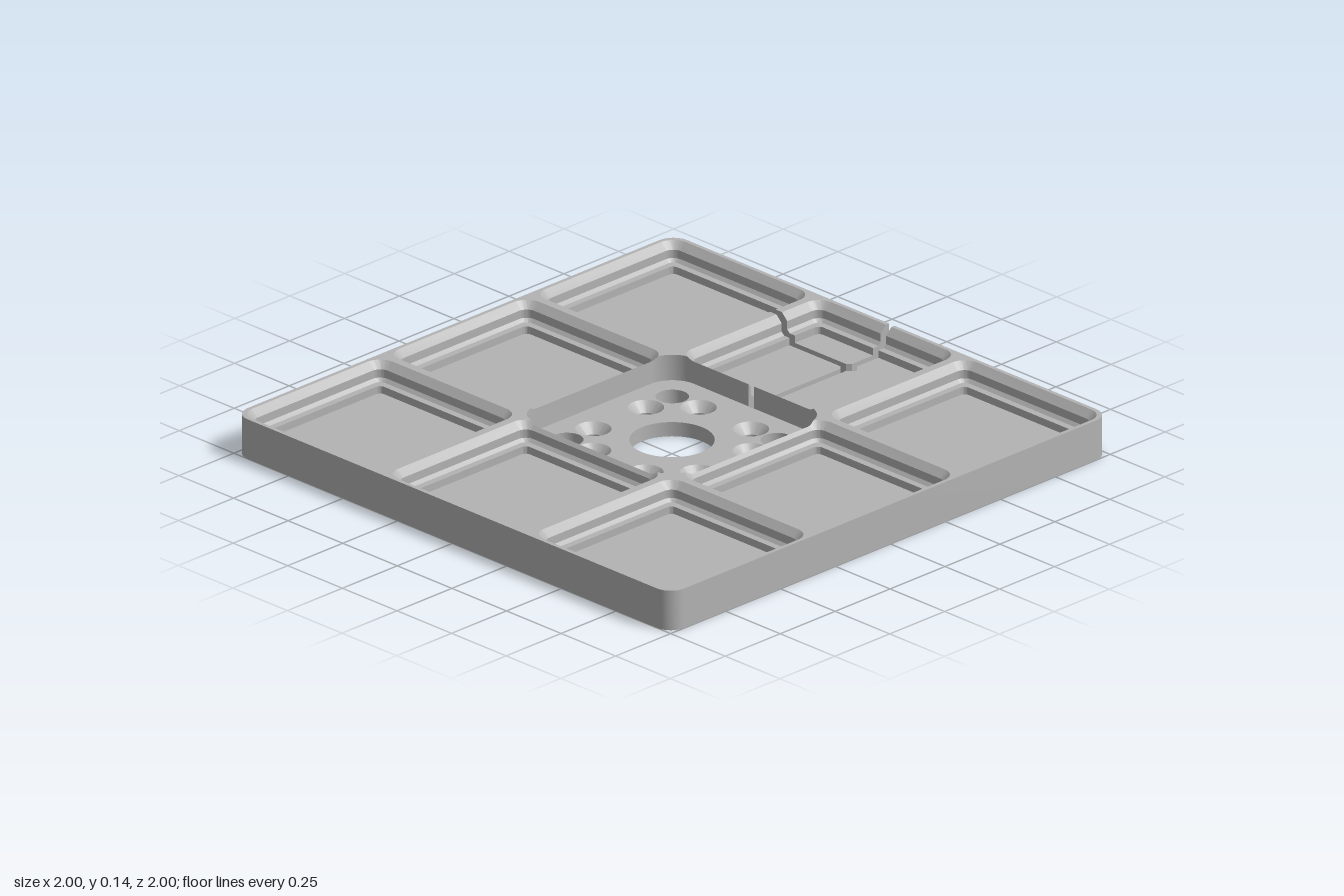
import * as THREE from 'three';
import { toCreasedNormals } from 'three/addons/utils/BufferGeometryUtils.js';

const V = (x, y, z) => new THREE.Vector3(x, y, z);
const TOP = 0.14, FLOOR = 0.05, PITCH = 0.667;
// Pocket profile, rim to floor: [half width, corner radius, height]
const PROFILE = [
  [0.319, 0.058, TOP], [0.295, 0.034, 0.116], [0.295, 0.034, 0.087],
  [0.284, 0.023, 0.076], [0.26, 0.02, 0.076], [0.26, 0.02, FLOOR],
];
const RECESS = 0.36, RECESS_R = 0.1;
const SLOT = 0.0125, SLOT_X = 0.805, SLOT_START = 0.358, SLOT_END = -0.48;

// Loops are lists of [x, z]
function roundedSquare(half, r, cx = 0, cz = 0, n = 10) {
  const pts = [];
  for (let q = 0; q < 4; q++) {
    const sx = q === 0 || q === 3 ? 1 : -1, sz = q < 2 ? 1 : -1;
    for (let i = 0; i <= n; i++) {
      const a = (q + i / n) * Math.PI / 2;
      pts.push([cx + sx * (half - r) + r * Math.cos(a), cz + sz * (half - r) + r * Math.sin(a)]);
    }
  }
  return pts;
}

function circle(r, cx = 0, cz = 0, n = 40) {
  return Array.from({ length: n }, (_, i) => {
    const a = i / n * Math.PI * 2;
    return [cx + r * Math.cos(a), cz + r * Math.sin(a)];
  });
}

const ring = (loop, y) => loop.map(([x, z]) => V(x, y, z));

// Wall through rings: bottom to top faces outward, top to bottom faces inward
function loft(rings) {
  const out = [];
  for (let k = 0; k < rings.length - 1; k++) {
    const a = rings[k], b = rings[k + 1];
    a.forEach((p, i) => {
      const j = (i + 1) % a.length;
      out.push([p, b[i], b[j]], [p, b[j], a[j]]);
    });
  }
  return out;
}

// Flat triangulated outline, placed by a mapping from 2D to 3D
function sheet(outline, holes, place, flip) {
  const toPath = (l) => l.map(([x, y]) => new THREE.Vector2(x, y));
  const shape = new THREE.Shape(toPath(outline));
  shape.holes = holes.map((h) => new THREE.Path(toPath(h)));
  const p = new THREE.ShapeGeometry(shape).toNonIndexed().attributes.position;
  const out = [];
  for (let i = 0; i < p.count; i += 3) {
    const t = [0, 1, 2].map((k) => place(p.getX(i + k), p.getY(i + k)));
    out.push(flip ? t.reverse() : t);
  }
  return out;
}
const level = (outline, holes, y, up = true) => sheet(outline, holes, (x, z) => V(x, y, z), up);

// Cuts a convex vertical prism out of a list of triangles
function cut(tris, loop) {
  const sides = loop.map((a, i) => {
    const b = loop[(i + 1) % loop.length];
    return (p) => (p.x - a[0]) * (b[1] - a[1]) - (p.z - a[1]) * (b[0] - a[0]);
  });
  const out = [];
  for (const tri of tris) {
    if (sides.some((f) => tri.every((p) => f(p) >= -1e-9))) { out.push(tri); continue; }
    let poly = tri;
    for (const f of sides) {
      const outer = [], inner = [];
      poly.forEach((p, i) => {
        const q = poly[(i + 1) % poly.length], fp = f(p), fq = f(q);
        (fp > 0 ? outer : inner).push(p);
        if ((fp > 0) !== (fq > 0)) {
          const m = p.clone().lerp(q, fp / (fp - fq));
          outer.push(m);
          inner.push(m);
        }
      });
      for (let i = 1; i < outer.length - 1; i++) out.push([outer[0], outer[i], outer[i + 1]]);
      poly = inner;
      if (poly.length < 3) break;
    }
  }
  return out;
}

// Depth of a point inside the rim of a pocket next to the centre
function rimDepth(x, z) {
  const [half, r] = PROFILE[0];
  const qx = Math.abs(Math.max(Math.abs(x), Math.abs(z)) - PITCH) - half + r;
  const qz = Math.min(Math.abs(x), Math.abs(z)) - half + r;
  return Math.max(0, r - Math.hypot(Math.max(qx, 0), Math.max(qz, 0)) - Math.min(Math.max(qx, qz), 0));
}

export function createModel() {
  const group = new THREE.Group();
  const grey = new THREE.MeshStandardMaterial({ color: 0xb3b3b3 });
  grey.name = 'plain grey';

  // Slot outlines
  const slotAcross = [[SLOT_START, -SLOT], [1.1, -SLOT], [1.1, SLOT], [SLOT_START, SLOT]];
  const slotBack = [[SLOT_X - SLOT, SLOT_END], [SLOT_X + SLOT, SLOT_END], [SLOT_X + SLOT, 0], [SLOT_X - SLOT, 0]];
  const diamond = circle(0.038, SLOT_X, 0, 4);
  const allSlots = [slotAcross, slotBack, diamond];

  function add(name, tris, cutters = allSlots) {
    const soup = cutters.reduce(cut, tris).filter(([a, b, c]) =>
      b.clone().sub(a).cross(c.clone().sub(a)).length() > 1e-10);
    const geo = new THREE.BufferGeometry().setFromPoints(soup.flat());
    const mesh = new THREE.Mesh(toCreasedNormals(geo, 0.5), grey);
    mesh.name = name;
    group.add(mesh);
  }

  const outer = roundedSquare(1, 0.063);
  const recess = roundedSquare(RECESS, RECESS_R, 0, 0, 16);
  const cells = [];
  for (const i of [-1, 0, 1]) for (const j of [-1, 0, 1]) if (i || j) cells.push([i * PITCH, j * PITCH]);

  // Hole layout
  const big = [], screws = [];
  for (const sx of [-1, 1]) for (const sz of [-1, 1]) {
    big.push([sx * 0.24, sz * 0.24]);
    screws.push([sx * 0.12, sz * 0.24], [sx * 0.24, sz * 0.12]);
  }
  const plainHoles = [circle(0.138, 0, 0, 64), ...big.map((c) => circle(0.054, ...c))];
  const screwHoles = (r) => screws.map((c) => circle(r, ...c));

  // Shell of the plate
  add('outerWall', loft([ring(outer, 0), ring(outer, TOP)]));
  add('underside', level(outer, [...plainHoles, ...screwHoles(0.027)], 0, false));
  const rims = cells.map((c) => roundedSquare(PROFILE[0][0], PROFILE[0][1], ...c));
  add('topRim', level(outer, rims, TOP), [recess, ...allSlots]);

  // Stepped pockets
  for (const c of cells) {
    const rings = PROFILE.map(([h, r, y]) => ring(roundedSquare(h, r, ...c), y));
    add('pocketWall', loft(rings), [recess, ...allSlots]);
    const [h, r, y] = PROFILE[PROFILE.length - 1];
    add('pocketFloor', level(roundedSquare(h, r, ...c), [], y));
  }

  // Centre recess, its rim dipping where it meets the pockets
  add('recessWall', loft([recess.map(([x, z]) => V(x, TOP - rimDepth(x, z), z)), ring(recess, FLOOR)]));
  add('recessFloor', level(recess, [...plainHoles, ...screwHoles(0.059)], FLOOR));
  for (const hole of plainHoles) add('throughHole', loft([ring(hole, FLOOR), ring(hole, 0)]), []);
  for (const c of screws) {
    const small = circle(0.027, ...c);
    add('countersunkHole', loft([ring(circle(0.059, ...c), FLOOR), ring(small, 0.018), ring(small, 0)]), []);
  }

  // Side walls of the slots, following the section of the plate
  const down = (c, s) => PROFILE.map(([h, , y]) => [c + s * h, y]);
  const acrossSection = [
    [SLOT_START, 0], [SLOT_START, FLOOR], [RECESS, FLOOR], [RECESS, TOP - rimDepth(RECESS, 0)],
    ...down(PITCH, -1).slice(1), ...down(PITCH, 1).reverse(), [1, TOP], [1, 0],
  ];
  const backSection = [
    [SLOT_END, 0], [SLOT_END, FLOOR], ...down(-PITCH, 1).reverse(), ...down(0, -1), [0, FLOOR], [0, 0],
  ];
  for (const s of [-1, 1]) {
    add('slotAcrossWall', sheet(acrossSection, [], (x, y) => V(x, y, s * SLOT), s > 0), [slotBack, diamond]);
    add('slotBackWall', sheet(backSection, [], (z, y) => V(SLOT_X + s * SLOT, y, z), s < 0), [slotAcross, diamond]);
  }
  const endStrip = [[-SLOT, 0], [SLOT, 0], [SLOT, FLOOR], [-SLOT, FLOOR]];
  add('slotAcrossEnd', sheet(endStrip, [], (z, y) => V(SLOT_START, y, z), true), []);
  add('slotBackEnd', sheet(endStrip, [], (x, y) => V(SLOT_X + x, y, SLOT_END), false), []);
  add('slotDiamondWall', loft([ring(diamond, FLOOR), ring(diamond, 0)]), [slotAcross, slotBack]);

  return group;
}
